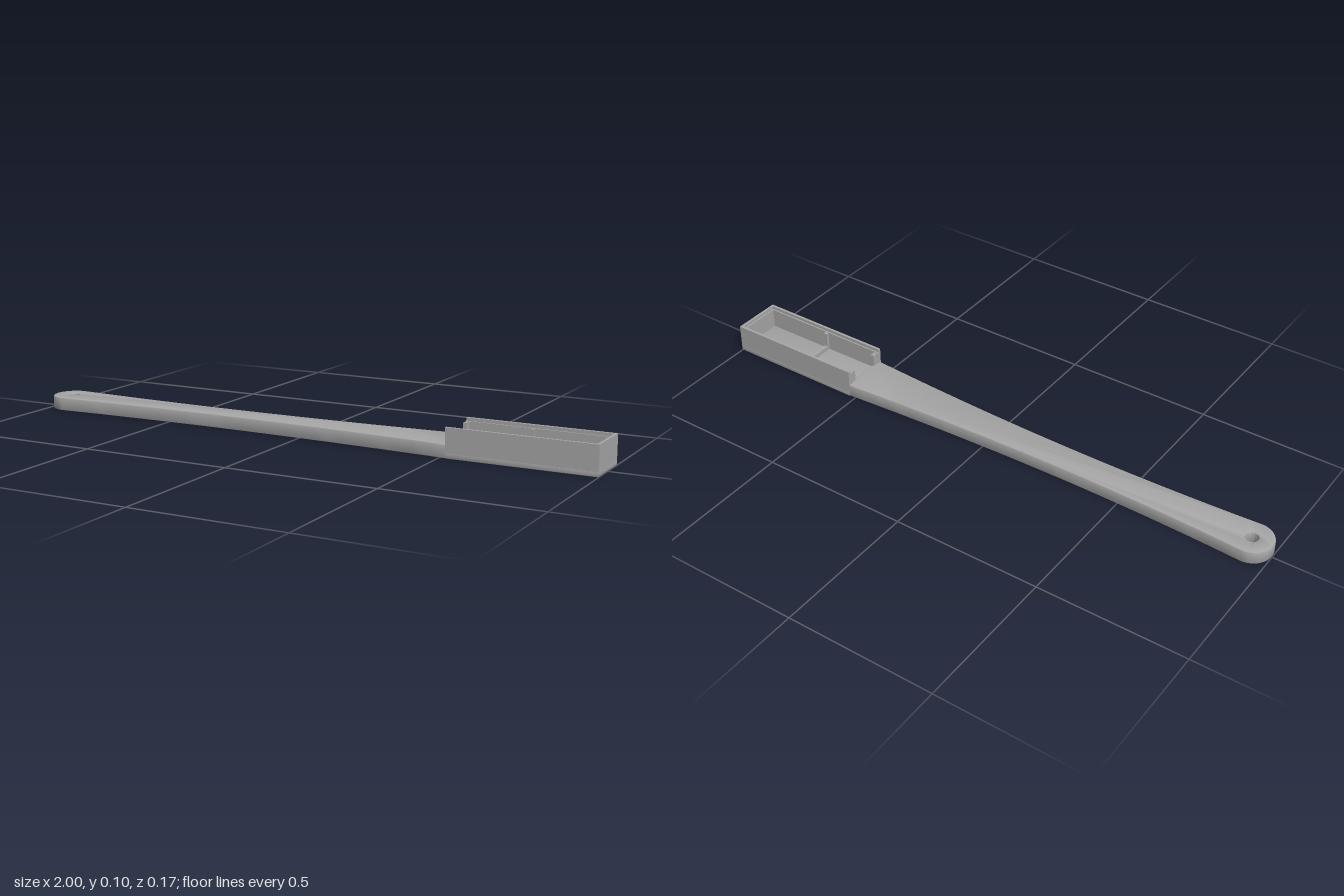
import * as THREE from 'three';
import { toCreasedNormals } from 'three/addons/utils/BufferGeometryUtils.js';

const HEAD = 0.52, END = 1, HALF = 0.085, TOP = 0.097, LEDGE = 0.087, FLOOR = 0.02, GRIP = 0.045;

export function createModel() {
  const group = new THREE.Group();
  const grey = new THREE.MeshStandardMaterial({ color: 0xa6a6a6 });
  grey.name = 'grey plastic';

  const add = (name, geometry) => {
    const mesh = new THREE.Mesh(geometry, grey);
    mesh.name = name;
    group.add(mesh);
  };
  // Flat outline raised from y0 to y1
  const slab = (name, shape, y0, y1, bevel = 0) => {
    const g = new THREE.ExtrudeGeometry(shape, {
      depth: y1 - y0 - 2 * bevel, curveSegments: 32, bevelEnabled: bevel > 0,
      bevelThickness: bevel, bevelSize: bevel, bevelOffset: -bevel, bevelSegments: 2,
    });
    g.rotateX(-Math.PI / 2);
    g.translate(0, y0 + bevel, 0);
    add(name, toCreasedNormals(g, 0.5));
  };
  const box = (name, x0, x1, y0, y1, z0, z1) => {
    const g = new THREE.BoxGeometry(x1 - x0, y1 - y0, z1 - z0);
    g.translate((x0 + x1) / 2, (y0 + y1) / 2, (z0 + z1) / 2);
    add(name, g);
  };
  const polygon = (pts) => new THREE.Shape(pts.map(([x, y]) => new THREE.Vector2(x, y)));

  // Waisted handle with a round end and hanging hole
  const handle = new THREE.Shape();
  handle.moveTo(-0.93, -0.07);
  handle.bezierCurveTo(-0.5, -0.043, -0.05, -0.043, HEAD, -0.084);
  handle.lineTo(0.532, -0.08);
  handle.lineTo(0.532, 0.08);
  handle.lineTo(HEAD, 0.084);
  handle.bezierCurveTo(-0.05, 0.043, -0.5, 0.043, -0.93, 0.07);
  handle.absarc(-0.93, 0, 0.07, Math.PI / 2, Math.PI * 1.5, false);
  const hole = new THREE.Path();
  hole.absarc(-0.93, 0, 0.02, 0, Math.PI * 2, true);
  handle.holes.push(hole);
  slab('handle', handle, 0, GRIP, 0.005);

  // Head floor
  slab('headFloor', polygon([[HEAD, -HALF], [END, -HALF], [END, HALF], [HEAD, HALF]]), 0, FLOOR, 0.003);

  // Three-sided wall: thick below, thinner above to leave a lid ledge
  const wall = (t) => polygon([
    [HEAD, -HALF], [END, -HALF], [END, HALF], [HEAD, HALF],
    [HEAD, HALF - t], [END - t, HALF - t], [END - t, -HALF + t], [HEAD, -HALF + t],
  ]);
  slab('headWall', wall(0.014), FLOOR - 0.005, LEDGE);
  slab('rimWall', wall(0.009), LEDGE, TOP);

  // Lips at the open end and guide ribs, mirrored on both sides
  for (const s of [-1, 1]) {
    const pair = (name, x0, x1, a, b) =>
      box(name, x0, x1, FLOOR - 0.005, LEDGE - 0.001, Math.min(a * s, b * s), Math.max(a * s, b * s));
    pair('endLip', HEAD + 0.001, 0.533, 0.05, 0.075);
    pair('guideRib', 0.735, 0.747, 0.061, 0.075);
  }

  // Low divider across the tray
  box('divider', 0.735, 0.747, FLOOR - 0.005, 0.035, -0.072, 0.072);

  return group;
}
